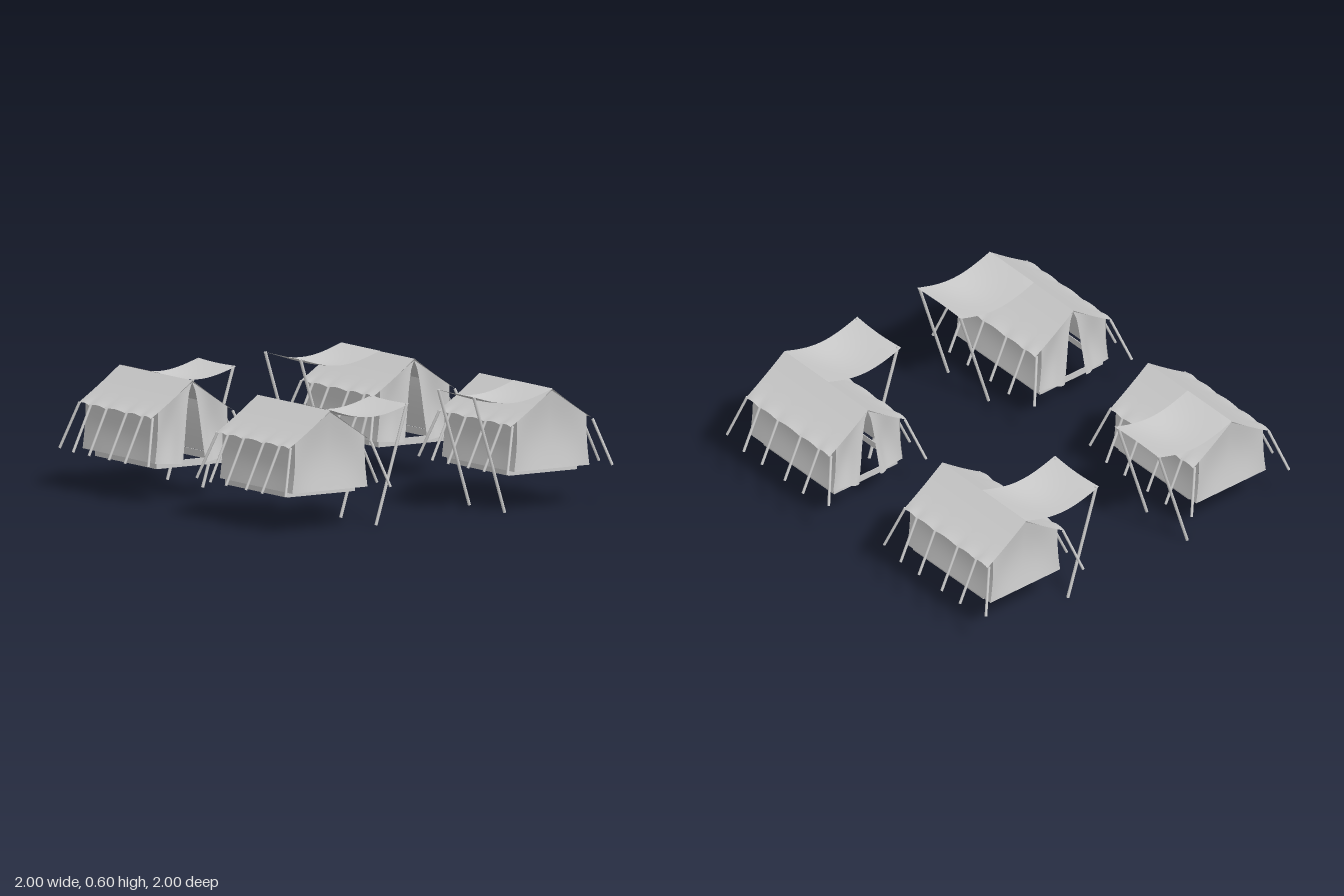
import * as THREE from 'three';

const RIDGE_X = 0.655, RIDGE_Y = 0.595, EAVE_Y = 0.425, EAVE = 0.246;
const Z0 = 0.285, Z1 = 0.928, BASE = 0.2;
const ROPE_Z = [0.375, 0.515, 0.69, 0.83];
const STOPS = [Z0, ...ROPE_Z, Z1];

const cloth = new THREE.MeshStandardMaterial({ color: 0xcccccc, side: THREE.DoubleSide });
const solid = new THREE.MeshStandardMaterial({ color: 0xcccccc });

// Cloth surface: f(u, v) gives a point, u and v run from 0 to 1
function sheet(nu, nv, f) {
  const geo = new THREE.PlaneGeometry(1, 1, nu, nv);
  const p = geo.attributes.position;
  for (let i = 0; i < p.count; i++) p.setXYZ(i, ...f(p.getX(i) + 0.5, p.getY(i) + 0.5));
  geo.computeVertexNormals();
  return geo;
}

// Round rod between two points
function rod(a, b, r) {
  const from = new THREE.Vector3(...a), to = new THREE.Vector3(...b);
  const dir = to.clone().sub(from);
  const geo = new THREE.CylinderGeometry(r, r, dir.length(), 8);
  geo.applyQuaternion(new THREE.Quaternion().setFromUnitVectors(new THREE.Vector3(0, 1, 0), dir.normalize()));
  return geo.translate(...from.add(to).multiplyScalar(0.5).toArray());
}

// 0 at each rope, 1 halfway between two ropes
function scallop(z) {
  for (let i = 0; i < STOPS.length - 1; i++) {
    if (z <= STOPS[i + 1]) return Math.sin(Math.PI * Math.max(0, (z - STOPS[i]) / (STOPS[i + 1] - STOPS[i])));
  }
  return 0;
}

// Half width of the body, pinched a little at mid height
function halfWidth(y) {
  const t = (y - BASE) / 0.25;
  return 0.222 - 0.017 * t - 0.006 * Math.sin(Math.PI * Math.min(t, 1));
}
const gableTop = s => 0.587 - 0.137 * Math.abs(s);

function createTent(sx, sz) {
  const tent = new THREE.Group();
  tent.name = 'tent';

  // Adds a part, mirrored into its corner of the camp
  function add(name, geo, mat = solid) {
    geo.translate(RIDGE_X, 0, 0).scale(sx, 1, sz);
    if (sx * sz < 0) {
      const a = geo.index.array;
      for (let i = 0; i < a.length; i += 3) [a[i], a[i + 1]] = [a[i + 1], a[i]];
    }
    const mesh = new THREE.Mesh(geo, mat);
    mesh.name = name;
    tent.add(mesh);
  }

  // Low skirt round the open base
  for (const side of [-1, 1]) {
    add('baseSkirt', new THREE.BoxGeometry(0.004, 0.035, 0.54).translate(side * 0.2, 0.1875, 0.572));
    add('baseSkirt', new THREE.BoxGeometry(0.404, 0.035, 0.004).translate(0, 0.1875, 0.572 + side * 0.268));
  }

  // Closed gable at the far end
  add('backWall', sheet(16, 10, (u, v) => {
    const s = u * 2 - 1, y = BASE + v * (gableTop(s) - BASE);
    return [s * halfWidth(Math.min(y, 0.45)), y, 0.922 - 0.018 * Math.sin(Math.PI * v) * (1 - s * s)];
  }), cloth);

  for (const side of [-1, 1]) {
    // Roof slope with scalloped eave
    add('roof', sheet(40, 10, (u, v) => {
      const z = Z0 + u * (Z1 - Z0), w = 1 - v;
      const y = RIDGE_Y + w * (EAVE_Y - RIDGE_Y) + 0.009 * w ** 8 * scallop(z);
      return [side * w * EAVE, y - 0.004 * Math.sin(Math.PI * w), z];
    }), cloth);

    // Long side wall
    add('sideWall', sheet(24, 8, (u, v) => {
      const z = Z0 + u * (0.922 - Z0), y = BASE + 0.25 * v;
      return [side * (halfWidth(y) - 0.006 * Math.sin(Math.PI * u) * Math.sin(Math.PI * v)), y, z];
    }), cloth);

    // Door flap, drawn aside to leave a tapering opening
    add('doorFlap', sheet(14, 12, (u, v) => {
      const gap = 0.3 * Math.sqrt(1 - v), s = gap + u * (1 - gap);
      const y = BASE - 0.012 * (1 - v) * (1 - u) + v * (gableTop(s) - BASE);
      const curl = 0.022 * (1 - v) * Math.exp(-(((u - 0.1) / 0.22) ** 2));
      const bow = 0.016 * Math.sin(Math.PI * v) * Math.sin(Math.PI * u);
      return [side * s * halfWidth(Math.min(y, 0.45)), y, Z0 + 0.004 + bow - curl];
    }), cloth);

    // Guy ropes along the side, tied under the eave
    for (const z of ROPE_Z) {
      add('guyRope', rod([side * 0.234, 0.428, z], [side * 0.34, BASE, z], 0.007));
    }
    // Diagonal guy ropes at the corners
    for (const [z, zEnd] of [[Z0, 0.213], [Z1, 0.993]]) {
      add('cornerRope', rod([side * 0.236, 0.428, z], [side * 0.31, BASE, zEnd], 0.007));
    }
  }

  // Sagging awning from the ridge to the poles
  add('awning', sheet(16, 12, (u, v) => {
    const across = Math.sin(Math.PI * v), along = Math.sin(Math.PI * u);
    const x = -u * 0.465 + 0.007 * across * u * u;
    return [x, 0.597 - 0.006 * u - 0.05 * along - 0.01 * across * (0.3 * u + along), 0.59 + v * 0.338];
  }), cloth);

  // Slanted awning poles standing on the ground
  for (const z of [0.607, 0.917]) {
    add('awningPole', rod([-0.275, 0.003, z], [-0.457, 0.589, z], 0.008));
  }
  return tent;
}

export function createModel() {
  const camp = new THREE.Group();
  camp.name = 'tentCamp';
  for (const sx of [-1, 1]) for (const sz of [-1, 1]) camp.add(createTent(sx, sz));
  return camp;
}
